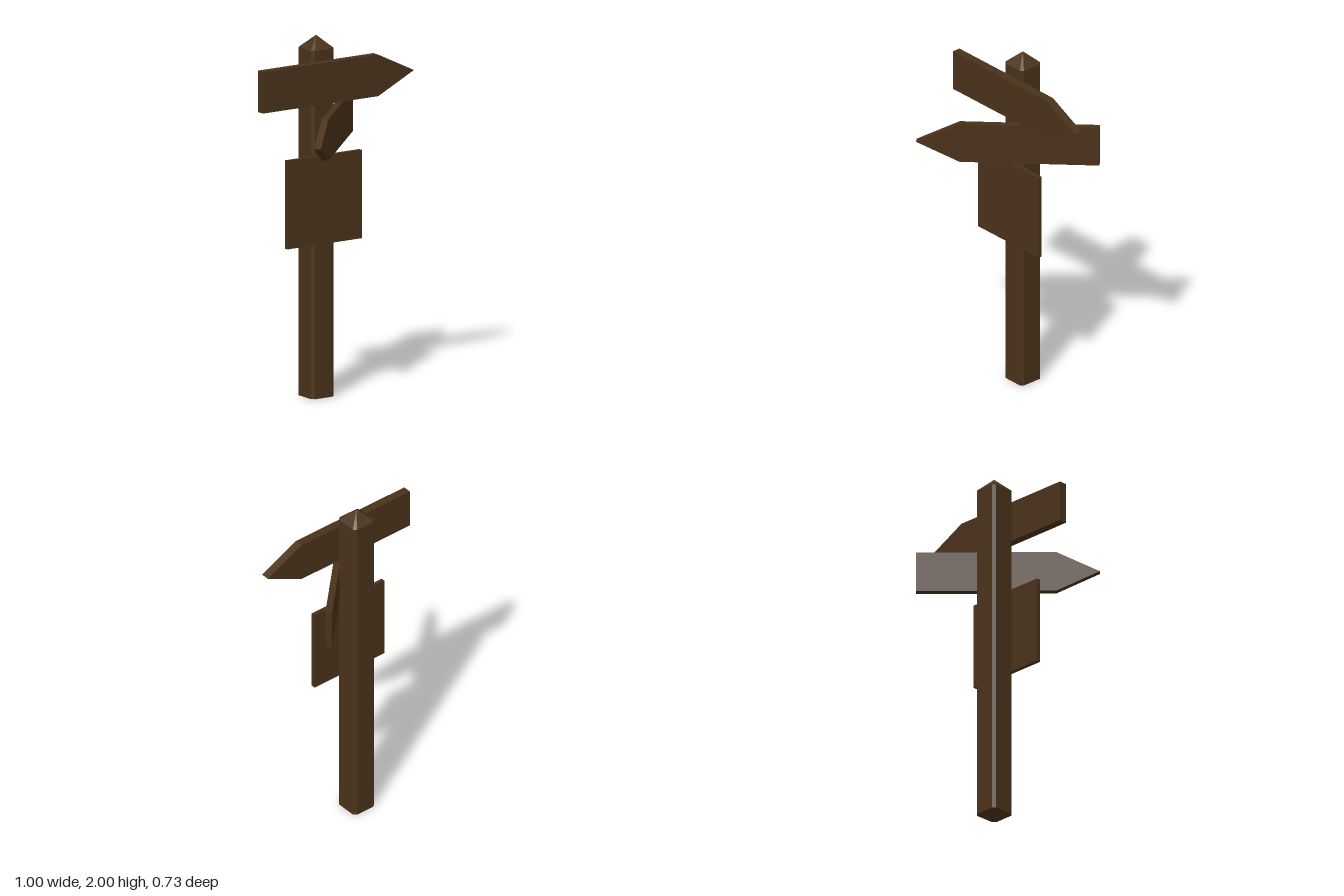
import * as THREE from 'three';

const wood = new THREE.MeshStandardMaterial({ color: 0x4a321a, flatShading: true });
const POST = { x: -0.066, z: -0.134, half: 0.074, chamfer: 0.016, height: 1.93, top: 2 };

function part(name, geometry, x, y, z) {
  const mesh = new THREE.Mesh(geometry, wood);
  mesh.name = name;
  mesh.position.set(x, y, z);
  return mesh;
}

// Square outline with cut corners, counter-clockwise
function chamferedSquare(h, c) {
  const k = h - c;
  return [[h, -k], [h, k], [k, h], [-k, h], [-h, k], [-h, -k], [-k, -h], [k, -h]]
    .map(([x, y]) => new THREE.Vector2(x, y));
}

// Upright board with a pointed +x end, centred on its own origin
function arrowBoard(length, height, thickness, tip) {
  const l = length / 2, h = height / 2;
  const shape = new THREE.Shape([[-l, -h], [l - tip, -h], [l, 0], [l - tip, h], [-l, h]]
    .map(([x, y]) => new THREE.Vector2(x, y)));
  return new THREE.ExtrudeGeometry(shape, { depth: thickness, bevelEnabled: false })
    .translate(0, 0, -thickness / 2);
}

// Low pyramid over the chamfered post outline
function capGeometry(outline, rise) {
  const points = [];
  outline.forEach((a, i) => {
    const b = outline[(i + 1) % outline.length];
    points.push(a.x, 0, -a.y, b.x, 0, -b.y, 0, rise, 0);
  });
  const geometry = new THREE.BufferGeometry();
  geometry.setAttribute('position', new THREE.Float32BufferAttribute(points, 3));
  geometry.computeVertexNormals();
  return geometry;
}

export function createModel() {
  const group = new THREE.Group();
  group.name = 'signpost';

  // Post and pointed cap
  const outline = chamferedSquare(POST.half, POST.chamfer);
  const shaft = new THREE.ExtrudeGeometry(new THREE.Shape(outline), { depth: POST.height, bevelEnabled: false })
    .rotateX(-Math.PI / 2);
  group.add(part('post', shaft, POST.x, 0, POST.z));
  group.add(part('postCap', capGeometry(outline, POST.top - POST.height), POST.x, POST.height, POST.z));

  // Upper arrow pointing left
  group.add(part('upperArrow', arrowBoard(0.995, 0.23, 0.048, 0.235), -0.002, 1.755, -0.037));

  // Lower arrow turned diagonally across the front of the post
  const lower = part('lowerArrow', arrowBoard(0.994, 0.23, 0.037, 0.235), -0.041, 1.495, -0.004);
  lower.rotation.y = -Math.PI * 0.75;
  group.add(lower);

  // Square notice board
  group.add(part('noticeBoard', new THREE.BoxGeometry(0.49, 0.49, 0.024), -0.077, 1.105, -0.049));

  return group;
}
